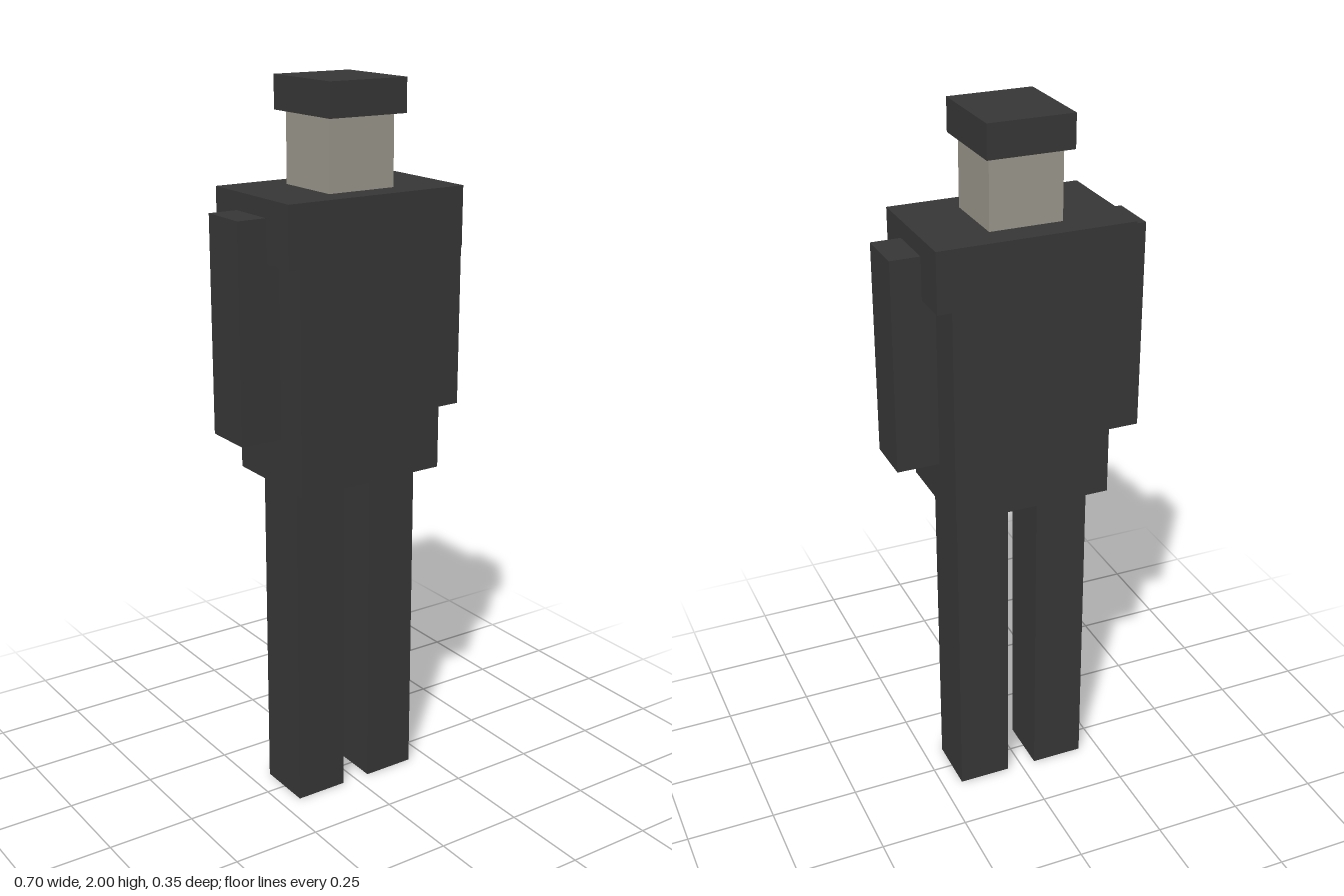
import * as THREE from 'three';

export function createModel() {
  const model = new THREE.Group();
  model.name = 'blockFigure';

  const cloth = new THREE.MeshStandardMaterial({ color: 0x363636 });
  cloth.name = 'charcoal cloth';
  const skin = new THREE.MeshStandardMaterial({ color: 0x99958a });
  skin.name = 'grey beige skin';

  // Box given by its x centre, bottom and top heights, width and depth
  function block(name, material, x, bottom, top, width, depth) {
    const mesh = new THREE.Mesh(new THREE.BoxGeometry(width, top - bottom, depth), material);
    mesh.name = name;
    mesh.position.set(x, (bottom + top) / 2, 0);
    model.add(mesh);
  }

  // Body, from the torso up to the cap
  block('torso', cloth, 0, 0.945, 1.556, 0.444, 0.306);
  block('shoulders', cloth, 0, 1.556, 1.72, 0.54, 0.352);
  block('head', skin, 0, 1.72, 1.91, 0.2, 0.2);
  block('cap', cloth, 0, 1.91, 2, 0.235, 0.26);

  // Mirrored limbs
  for (const [side, s] of [['left', 1], ['right', -1]]) {
    block(side + 'Leg', cloth, s * 0.118, 0, 0.945, 0.15, 0.164);
    block(side + 'Arm', cloth, s * 0.293, 1.086, 1.672, 0.118, 0.142);
  }

  return model;
}
